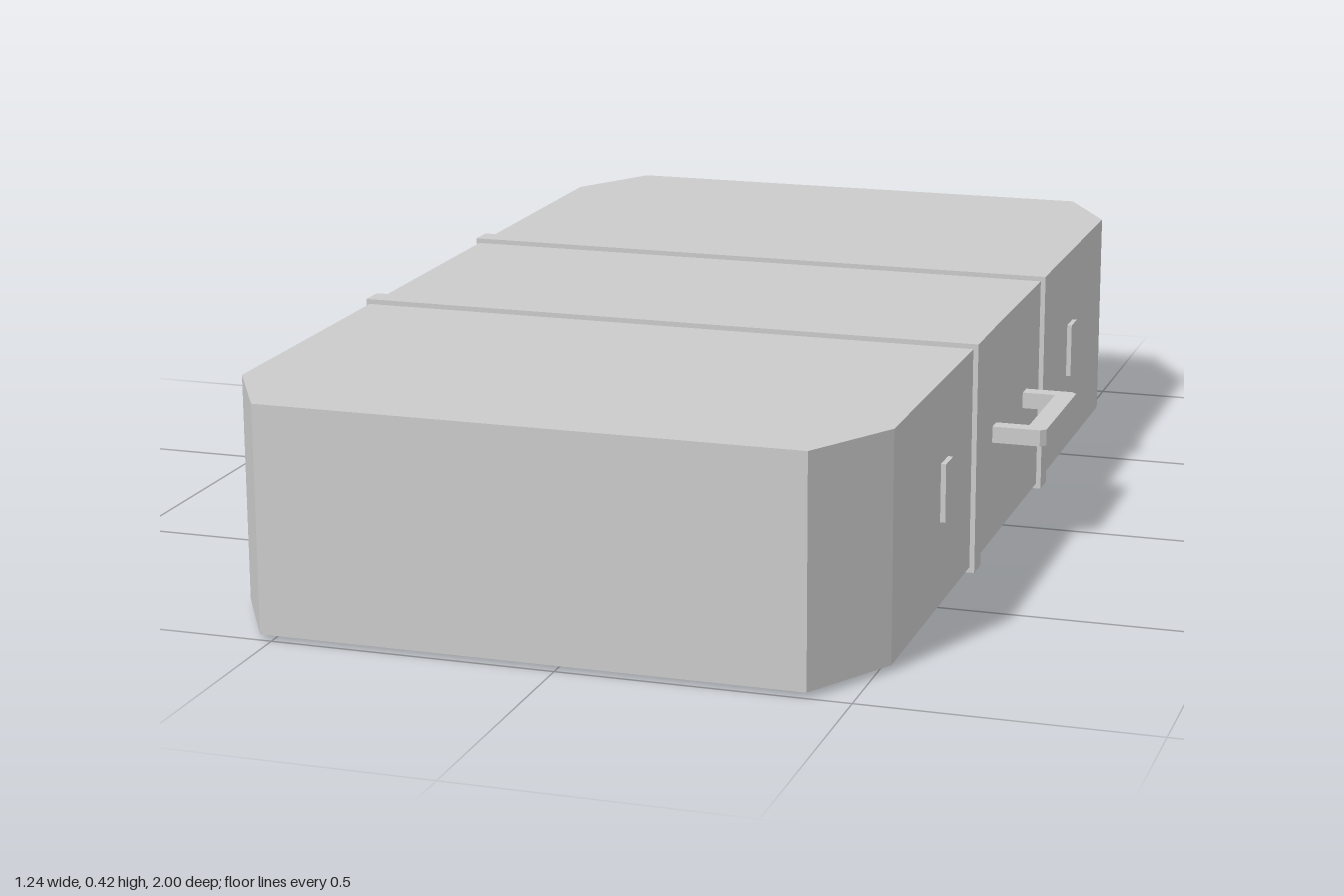
import * as THREE from 'three';

const material = new THREE.MeshStandardMaterial({ color: 0xcccccc, flatShading: true, side: THREE.DoubleSide });

// Closed shape from corner points
const outline = (points) => new THREE.Shape(points.map(([x, y]) => new THREE.Vector2(x, y)));

const extrude = (points, depth) =>
  new THREE.ExtrudeGeometry(outline(points), { depth, bevelEnabled: false });

// Outline drawn in plan (x, z), raised from y0 to y1
function slab(points, y0, y1) {
  const geometry = extrude(points.map(([x, z]) => [x, -z]), y1 - y0);
  return geometry.rotateX(-Math.PI / 2).translate(0, y0, 0);
}

export function createModel() {
  const group = new THREE.Group();
  const add = (name, geometry) => {
    const mesh = new THREE.Mesh(geometry, material);
    mesh.name = name;
    group.add(mesh);
    return mesh;
  };

  const left = 0.52, right = -0.615, bottom = 0.01, top = 0.407;

  // Case body with chamfered upright corners
  add('caseBody', slab([
    [right, -0.835], [-0.52, -1], [0.425, -1], [left, -0.835],
    [left, 0.835], [0.425, 1], [-0.52, 1], [right, 0.835],
  ], bottom, top));

  // Straps wrapped round the case, open at the hinge side
  const x0 = -0.621, x1 = 0.529, y1 = 0.416, gapLow = 0.18, gapHigh = 0.22;
  const strapProfile = [
    [x0, gapLow], [x0, 0], [x1, 0], [x1, y1], [x0, y1], [x0, gapHigh],
    [right, gapHigh], [right, top], [left, top], [left, bottom], [right, bottom], [right, gapLow],
  ];
  for (const [name, z] of [['frontStrap', 0.272], ['backStrap', -0.274]]) {
    add(name, extrude(strapProfile, 0.048)).position.z = z - 0.024;
  }

  // Latch plates
  for (const [name, z] of [['frontLatch', 0.494], ['backLatch', -0.534]]) {
    add(name, new THREE.BoxGeometry(0.02, 0.103, 0.05)).position.set(0.519, 0.21, z);
  }

  // Carrying handle: a square bracket with clipped outer corners
  add('handle', slab([
    [left, -0.143], [0.607, -0.143], [0.617, -0.133], [0.617, 0.125], [0.607, 0.135],
    [left, 0.135], [left, 0.105], [0.581, 0.105], [0.581, -0.113], [left, -0.113],
  ], 0.195, 0.225));

  return group;
}
